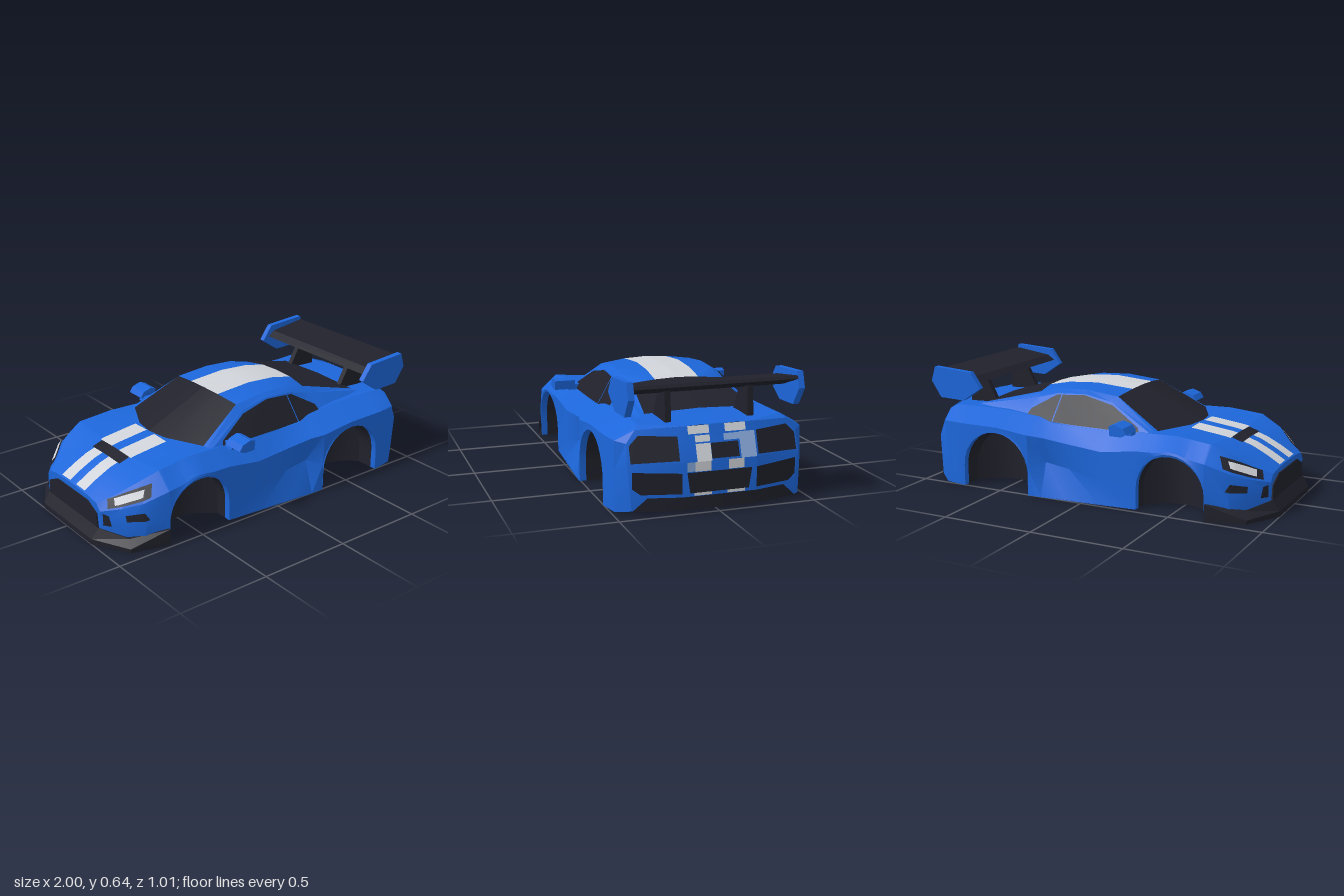
import * as THREE from 'three';
import { toCreasedNormals } from 'three/addons/utils/BufferGeometryUtils.js';

const paint = (name, color) => new THREE.MeshStandardMaterial({ name, color, side: THREE.DoubleSide });
const V = (x, y, z) => new THREE.Vector3(x, y, z);

// Half-width and height keys along the car, nose at -x:
// x, sill width, mid y/width, shoulder y/width, deck edge y/width, centre height
const KEYS = [
  [-0.955, 0.24, 0.12, 0.26, 0.18, 0.26, 0.215, 0.23, 0.23],
  [-0.88, 0.35, 0.12, 0.37, 0.205, 0.345, 0.255, 0.28, 0.275],
  [-0.80, 0.42, 0.12, 0.44, 0.24, 0.42, 0.315, 0.34, 0.315],
  [-0.68, 0.475, 0.15, 0.48, 0.29, 0.47, 0.37, 0.38, 0.355],
  [-0.49, 0.475, 0.20, 0.48, 0.32, 0.475, 0.39, 0.37, 0.38],
  [-0.30, 0.465, 0.20, 0.465, 0.31, 0.465, 0.385, 0.37, 0.395],
  [-0.10, 0.48, 0.12, 0.465, 0.28, 0.46, 0.375, 0.38, 0.39],
  [0.10, 0.495, 0.16, 0.445, 0.30, 0.465, 0.375, 0.38, 0.39],
  [0.24, 0.505, 0.18, 0.445, 0.32, 0.48, 0.385, 0.385, 0.395],
  [0.32, 0.505, 0.15, 0.50, 0.33, 0.505, 0.405, 0.37, 0.41],
  [0.52, 0.50, 0.20, 0.50, 0.35, 0.50, 0.42, 0.36, 0.42],
  [0.75, 0.50, 0.20, 0.50, 0.35, 0.495, 0.42, 0.36, 0.425],
  [0.86, 0.48, 0.20, 0.485, 0.35, 0.48, 0.42, 0.37, 0.42],
  [0.992, 0.42, 0.25, 0.44, 0.34, 0.435, 0.40, 0.39, 0.415],
];
const ARCHES = [{ c: -0.493, r: 0.19 }, { c: 0.525, r: 0.205 }];
const ARCH_Y = 0.115, TAIL_Z = 0.19, TAIL_Y = 0.25;

// Tail surface: corners sweep forward and the upper half leans forward
const tailX = (y, z) => 0.992 - 0.25 * Math.max(0, Math.abs(z) - TAIL_Z) - 0.35 * Math.max(0, y - TAIL_Y);
// Inner wall of a wheel well, bowed in plan
const wellZ = (a, x) => 0.27 + 0.1 * ((x - a.c) / a.r) ** 2;

function keyAt(x) {
  let i = 0;
  while (i < KEYS.length - 2 && x > KEYS[i + 1][0]) i++;
  const a = KEYS[i], b = KEYS[i + 1], t = (x - a[0]) / (b[0] - a[0]);
  return a.map((v, k) => v + (b[k] - v) * t);
}

// Half cross-section from the sill up to the centre line
function section(x, yb) {
  const [, wb, ym, wm, ys, ws, yd, wd, yc] = keyAt(x);
  return [V(x, yb, wb), V(x, Math.max(ym, yb + 0.012), wm), V(x, Math.max(ys, yb + 0.024), ws),
    V(x, yd, wd), V(x, yc - 0.004, 0.15), V(x, yc, 0)];
}

// Stations: keys outside the arches plus a fan of stations across each arch
function stations() {
  const list = KEYS.map(k => k[0]).filter(x => ARCHES.every(a => Math.abs(x - a.c) > a.r + 0.005))
    .map(x => ({ x, yb: x > 0.94 ? 0.02 : 0, arch: null }));
  for (const a of ARCHES) {
    list.push({ x: a.c - a.r, yb: 0, arch: null, o: -1 });
    for (let i = 0; i <= 14; i++) {
      const t = Math.PI * i / 14;
      list.push({ x: a.c - a.r * Math.cos(t), yb: ARCH_Y + a.r * Math.sin(t), arch: a, o: i });
    }
    list.push({ x: a.c + a.r, yb: 0, arch: null, o: 99 });
  }
  return list.sort((p, q) => Math.abs(p.x - q.x) > 1e-6 ? p.x - q.x : p.o - q.o);
}

export function createModel() {
  const car = new THREE.Group();
  car.name = 'raceCar';
  const blue = paint('blue paint', 0x1c66da), dark = paint('dark trim', 0x20212b);
  const white = paint('stripe white', 0xd0d3d9), pale = paint('pale blue', 0x86a8da);

  const add = (name, geo, mat) => {
    const m = new THREE.Mesh(geo, mat);
    m.name = name;
    car.add(m);
  };
  // Surface through rows of points; one mesh per material
  function skin(name, rows, pick, s = 1) {
    const buckets = new Map();
    for (let i = 0; i < rows.length - 1; i++) for (let j = 0; j < rows[i].length - 1; j++) {
      const mat = pick.isMaterial ? pick : pick(i, j);
      if (!buckets.has(mat)) buckets.set(mat, []);
      const q = [rows[i][j], rows[i + 1][j], rows[i + 1][j + 1], rows[i][j + 1]];
      const order = s > 0 ? [0, 1, 2, 0, 2, 3] : [0, 2, 1, 0, 3, 2];
      for (const k of order) buckets.get(mat).push(q[k].x, q[k].y, q[k].z * s);
    }
    for (const [mat, pos] of buckets) {
      const g = new THREE.BufferGeometry();
      g.setAttribute('position', new THREE.Float32BufferAttribute(pos, 3));
      add(name, toCreasedNormals(g, 0.4), mat);
    }
  }
  const both = (name, rows, pick) => [1, -1].forEach(s => skin(name, rows, pick, s));

  // Painted patch lying on the body; corners are (x, section column)
  function surf(x, u) {
    const p = section(x, 0), j = Math.min(4, Math.floor(u));
    return p[j].clone().lerp(p[j + 1], u - j);
  }
  function patch(name, mat, [a, b, c, d], lift = 0.005) {
    const rows = [], n = 8, e = 0.004, mix = (p, q, t) => p + (q - p) * t;
    for (let i = 0; i <= n; i++) {
      rows.push([]);
      for (let j = 0; j <= n; j++) {
        const x = mix(mix(a[0], b[0], i / n), mix(d[0], c[0], i / n), j / n);
        const u = mix(mix(a[1], b[1], i / n), mix(d[1], c[1], i / n), j / n);
        const u0 = Math.min(u, 5 - e);
        const nx = surf(x + e, u0).sub(surf(x - e, u0)), nu = surf(x, u0 + e).sub(surf(x, u0));
        rows[i].push(surf(x, u).addScaledVector(nx.cross(nu).normalize(), lift));
      }
    }
    both(name, rows, mat);
  }
  const rect = (x0, x1, u0, u1) => [[x0, u0], [x1, u0], [x1, u1], [x0, u1]];

  // Body shell, nose and tail caps
  const st = stations();
  const shell = st.map(p => section(p.x, p.yb));
  const tail = shell[shell.length - 1];
  tail.forEach(p => { p.x = tailX(p.y, p.z); });
  both('bodyShell', shell, blue);
  both('noseCap', [shell[0], shell[0].map(p => V(p.x, p.y, 0))], blue);
  const side = tail.slice(0, 4);
  both('tailCap', [side, ...[TAIL_Z, 0].map(z => side.map(p => V(tailX(p.y, z), p.y + (p.y > 0.38 ? 0.012 : 0), z)))], blue);

  // Floor with wheel notches
  skin('floor', st.map(p => {
    const w = p.arch ? wellZ(p.arch, p.x) : keyAt(p.x)[1];
    return [-w, -TAIL_Z, TAIL_Z, w].map(z => p.yb === 0.02 ? V(tailX(0, z), 0.02, z) : V(p.x, 0.003, z));
  }), dark);

  // Wheel wells with a painted lip
  for (const a of ARCHES) {
    const arc = st.filter(p => p.arch === a);
    const curve = [{ x: a.c - a.r, yb: 0 }, ...arc, { x: a.c + a.r, yb: 0 }];
    both('wheelWell', curve.map(p => [wellZ(a, p.x), keyAt(p.x)[1] - 0.035, keyAt(p.x)[1]].map(z => V(p.x, p.yb, z))),
      (i, j) => j ? blue : dark);
    both('wheelWellWall', arc.map(p => [0, p.yb].map(y => V(p.x, y, wellZ(a, p.x)))), dark);
  }

  // Cabin: side base, side rail, roof edge, stripe edge, centre
  const cabin = [
    [V(-0.34, 0.38, 0.365), V(-0.35, 0.388, 0.345), V(-0.36, 0.39, 0.32), V(-0.46, 0.393, 0.12), V(-0.48, 0.395, 0)],
    [V(-0.18, 0.375, 0.378), V(-0.08, 0.51, 0.295), V(-0.10, 0.535, 0.26), V(-0.115, 0.552, 0.12), V(-0.12, 0.557, 0)],
    [V(0.10, 0.375, 0.378), V(0.08, 0.535, 0.287), V(0.09, 0.553, 0.255), V(0.10, 0.568, 0.12), V(0.10, 0.572, 0)],
    [V(0.27, 0.38, 0.378), V(0.25, 0.526, 0.287), V(0.26, 0.545, 0.25), V(0.27, 0.557, 0.12), V(0.27, 0.562, 0)],
    [V(0.42, 0.40, 0.365), V(0.38, 0.49, 0.285), V(0.385, 0.515, 0.24), V(0.40, 0.53, 0.12), V(0.40, 0.535, 0)],
    [V(0.76, 0.42, 0.34), V(0.74, 0.427, 0.315), V(0.72, 0.432, 0.285), V(0.72, 0.438, 0.12), V(0.72, 0.442, 0)],
  ];
  both('cabin', cabin, (i, j) => j < 2 ? blue : (i === 0 || i === 4) ? dark : j === 3 ? white : blue);

  // Side windows, split by a slim pillar
  const pane = (i, t, lo, hi) => {
    const base = cabin[i][0].clone().lerp(cabin[i + 1][0], t), rail = cabin[i][1].clone().lerp(cabin[i + 1][1], t);
    return [lo, hi].map(f => base.clone().lerp(rail, f).add(V(0, 0.003, 0.005)));
  };
  both('sideWindow', [pane(0, 0.4, 0.08, 0.4), pane(1, 0, 0.03, 0.88), pane(2, 0, 0.03, 0.96),
    pane(2, 0.8, 0.03, 0.94)], dark);
  both('rearSideWindow', [pane(2, 0.84, 0.03, 0.94), pane(3, 0, 0.03, 0.93), pane(3, 0.9, 0.05, 0.4)], dark);

  // Bonnet stripes and vent
  patch('bonnetStripe', white, rect(-0.69, -0.47, 4.03, 4.77));
  patch('noseStripe', white, rect(-0.948, -0.75, 4.25, 4.8));
  patch('bonnetVent', dark, rect(-0.75, -0.69, 4.13, 5));

  // Headlights and bumper ducts
  patch('headlightSurround', dark, [[-0.925, 2.15], [-0.76, 2.1], [-0.73, 2.65], [-0.91, 2.95]]);
  patch('headlight', white, [[-0.895, 2.28], [-0.79, 2.25], [-0.77, 2.55], [-0.885, 2.8]], 0.009);
  patch('bumperDuct', dark, [[-0.945, 0.9], [-0.92, 0.9], [-0.925, 1.6], [-0.945, 1.8]]);
  patch('bumperSlot', dark, [[-0.87, 1.25], [-0.78, 1.25], [-0.80, 1.6], [-0.87, 1.6]]);

  // Front splitter: outline swept through a few levels, rising at the centre and by the wheels
  const ring = ([x0, z0, x1, z1, z2, y0, y1, y2]) => [V(x0, y0, 0), V(x0, y0, z0), V(x1, y1, z1), V(-0.69, y2, z2)];
  const levels = [[-1, 0.24, -0.89, 0.43, 0.49, 0, 0, 0], [-1, 0.24, -0.89, 0.43, 0.49, 0.03, 0.02, 0.02],
    [-0.962, 0.25, -0.87, 0.39, 0.487, 0.085, 0.055, 0.09], [-0.93, 0.22, -0.86, 0.32, 0.46, 0.085, 0.055, 0.09]].map(ring);
  both('splitter', levels, dark);
  both('splitterBase', [levels[0].map(p => V(p.x, 0, 0)), levels[0]], dark);

  // Extruded outlines
  const extrude = (pts, depth) => new THREE.ExtrudeGeometry(
    new THREE.Shape(pts.map(p => new THREE.Vector2(...p))), { depth, bevelEnabled: false });
  const sidePart = (name, mat, pts, z, depth) => add(name, extrude(pts, depth).translate(0, 0, z - depth / 2), mat);

  add('frontGrille', extrude([[-0.245, 0.06], [0.245, 0.06], [0.235, 0.16], [0.15, 0.2], [-0.15, 0.2], [-0.235, 0.16]], 0.008)
    .rotateY(-Math.PI / 2).translate(-0.954, 0, 0), dark);

  // Rear fascia: faces lying on the tail, given as columns of z, lower y, upper y
  const onTail = (cols, lift = 0.005) => cols.map(([z, ...ys]) => ys.map(y => V(tailX(y, z) + lift, y, z))).reverse();
  const band = (z0, z1, y0, y1) => [[z0, y0, y1], [z1, y0, y1]];
  both('tailLamp', onTail([[0.2, 0.26, 0.37], [0.38, 0.253, 0.375], [0.425, 0.251, 0.33]]), dark);
  both('rearVent', onTail([[0.19, 0.1, 0.2], [0.38, 0.1, 0.208], [0.42, 0.13, 0.21]]), dark);
  both('rearGrille', onTail([[0, 0.1, 0.2], [0.15, 0.1, 0.2], [0.165, 0.198, 0.2]]), dark);
  both('diffuser', onTail([[0, 0.02, 0.085], [TAIL_Z, 0.02, 0.085], [0.35, 0.02, 0.085], [0.415, 0.02, 0.025]], 0.008), dark);
  both('rearStripeLow', onTail(band(0.04, 0.13, 0.086, 0.1)), white);
  both('rearStripeTop', onTail(band(0.04, 0.147, 0.375, 0.412)), white);
  both('rearStripeBottom', onTail(band(0.045, 0.125, 0.203, 0.25)), white);
  skin('rearStripe', onTail(band(0.04, 0.115, 0.25, 0.33)), white);
  skin('plateRecessWhite', onTail(band(0.04, 0.115, 0.337, 0.367)), white);
  skin('plateRecessPale', onTail(band(-0.11, -0.03, 0.337, 0.367)), pale);
  skin('paleStripe', onTail(band(-0.19, -0.11, 0.251, 0.37)), pale);
  skin('paleStripeLow', onTail(band(0.125, 0.165, 0.205, 0.25)), pale);
  skin('platePanel', onTail(band(-0.1, 0.04, 0.26, 0.33), 0.008), dark);

  // Rear wing
  sidePart('wingBlade', dark, [[0.69, 0.56], [0.80, 0.55], [0.96, 0.605], [0.95, 0.62], [0.73, 0.59]], 0, 0.83);
  for (const s of [1, -1]) {
    sidePart('wingStrut', dark, [[0.68, 0.42], [0.86, 0.41], [0.85, 0.57], [0.76, 0.565]], s * 0.213, 0.03);
    sidePart('wingEndPlate', blue, [[0.65, 0.54], [0.76, 0.465], [0.91, 0.47], [0.97, 0.56], [0.945, 0.64], [0.71, 0.625]],
      s * 0.43, 0.032);
    // Door mirrors
    sidePart('mirror', blue, [[-0.27, 0.4], [-0.24, 0.385], [-0.175, 0.385], [-0.17, 0.435], [-0.2, 0.446], [-0.25, 0.43]],
      s * 0.45, 0.115);
    sidePart('mirrorStalk', blue, [[-0.26, 0.375], [-0.2, 0.375], [-0.2, 0.405], [-0.25, 0.405]], s * 0.385, 0.08);
  }
  return car;
}
